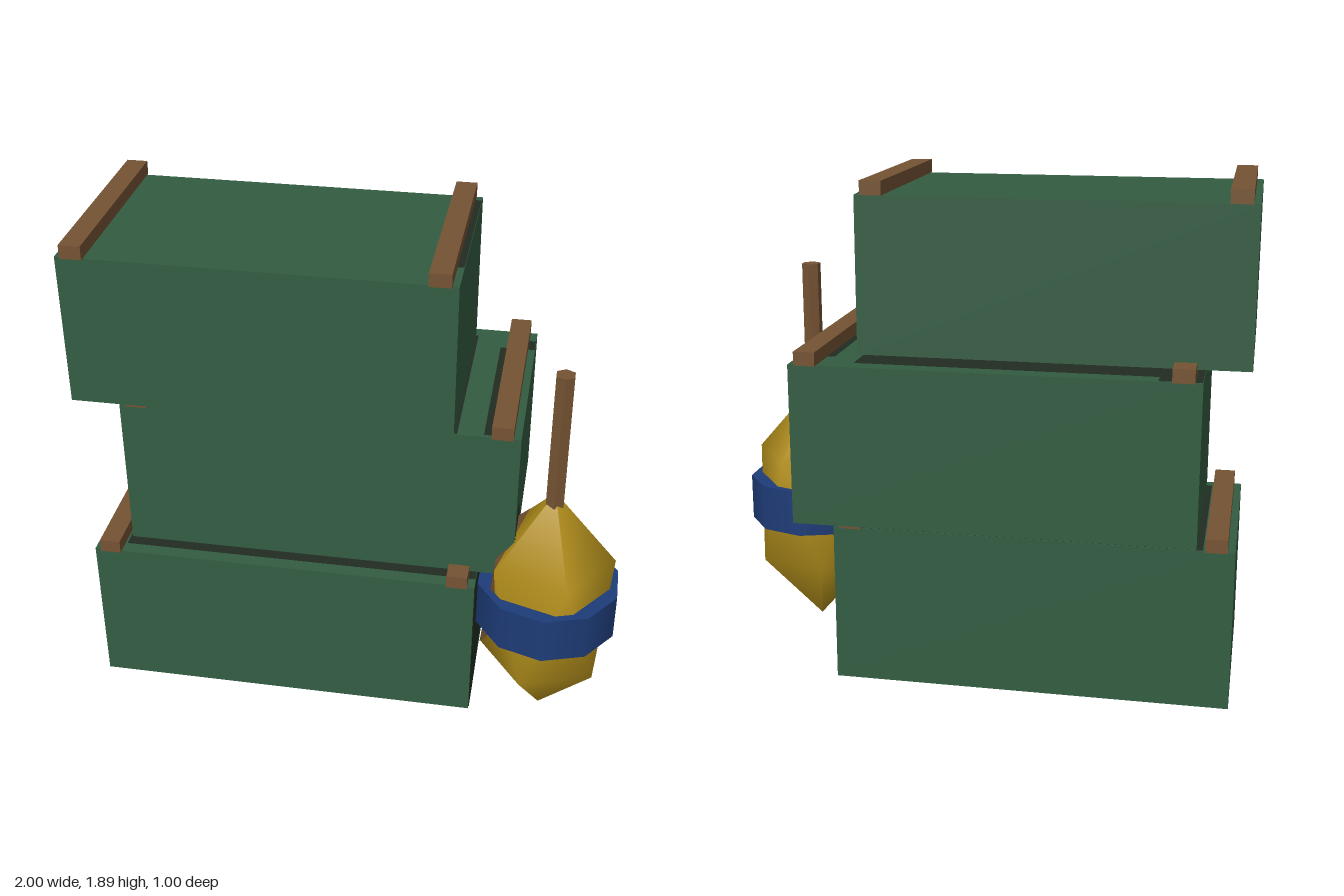
import * as THREE from 'three';

const paint = (name, color) => {
  const m = new THREE.MeshStandardMaterial({ color });
  m.name = name;
  return m;
};

// Two poles and two five-sided rings, the lower turned half a step; poles stay sharp
function floatGeometry(radius, ringY, poleY) {
  const points = [], faces = [];
  for (const side of [1, -1]) {
    for (let i = 0; i < 5; i++) {
      const a = (i * 2 + (side < 0 ? 1 : 0)) * Math.PI / 5;
      points.push(Math.cos(a) * radius, side * ringY, -Math.sin(a) * radius);
    }
  }
  for (let i = 0; i < 5; i++) {
    const j = (i + 1) % 5;
    const u = i, un = j, l = 5 + i, ln = 5 + j;
    const top = points.length / 3;
    points.push(0, poleY, 0, 0, -poleY, 0);
    faces.push(top, u, un, u, l, un, l, ln, un, top + 1, ln, l);
  }
  const g = new THREE.BufferGeometry();
  g.setAttribute('position', new THREE.Float32BufferAttribute(points, 3));
  g.setIndex(faces);
  g.computeVertexNormals();
  return g;
}

// Worn triangles on the side of the float that rests against the crates
function wornGeometry() {
  const low = [-0.239, -0.225, 0];
  const front = [-0.193, 0.225, 0.14], back = [-0.193, 0.225, -0.14];
  const g = new THREE.BufferGeometry();
  g.setAttribute('position', new THREE.Float32BufferAttribute([
    low, front, back,
    low, [-0.171, -0.045, 0.124], front,
    low, back, [-0.171, -0.045, -0.124],
    back, front, [-0.087, 0.376, -0.055],
  ].flat(), 3));
  g.computeVertexNormals();
  return g.scale(1.015, 1.015, 1.015);
}

export function createModel() {
  const model = new THREE.Group();
  model.name = 'stackedCratesWithBuoy';
  const green = paint('crateGreen', 0x335d42);
  const dark = paint('stainedDarkGreen', 0x222c22);
  const brown = paint('woodBrown', 0x755333);
  const yellow = paint('buoyYellow', 0xb4901c);
  const blue = paint('bandBlue', 0x1e3c78);

  const add = (parent, name, geometry, material, x, y, z) => {
    const mesh = new THREE.Mesh(geometry, material);
    mesh.name = name;
    mesh.position.set(x, y, z);
    parent.add(mesh);
    return mesh;
  };

  // Three offset crates with dark undersides, each with two wooden battens across the lid
  const crates = [
    { name: 'bottomCrate', size: [1.45, 0.594, 0.79], at: [-0.247, 0.042, -0.03], batten: 0.66 },
    { name: 'middleCrate', size: [1.45, 0.59, 0.79], at: [-0.115, 0.663, -0.094], batten: 0.66 },
    { name: 'topCrate', size: [1.378, 0.563, 0.75], at: [-0.311, 1.28, -0.03], batten: 0.627 },
  ];
  for (const { name, size: [w, h, d], at: [x, y, z], batten } of crates) {
    const crate = new THREE.Group();
    crate.name = name;
    crate.position.set(x, y, z);
    add(crate, 'crateBody', new THREE.BoxGeometry(w, h, d),
      [green, green, green, dark, green, green], 0, h / 2, 0);
    for (const side of [-1, 1]) {
      add(crate, side < 0 ? 'rightBatten' : 'leftBatten',
        new THREE.BoxGeometry(0.077, 0.05, d + 0.025), brown, side * batten, h + 0.025, 0);
    }
    model.add(crate);
  }

  // Dark stains on the lids: under the next crate and beside the battens [x0, x1, z0, z1, y]
  const lidStains = [
    [-0.86, 0.477, -0.424, 0.315, 0.638],
    [-0.839, 0.385, -0.43, 0.3, 1.255],
    [0.478, 0.506, -0.35, 0.29, 1.255],
    [0.584, 0.609, -0.42, -0.35, 1.255],
    [-0.839, -0.69, -0.488, -0.43, 1.255],
    [0.354, 0.377, -0.37, 0.2, 1.845],
  ];
  for (const [x0, x1, z0, z1, y] of lidStains) {
    const plate = new THREE.PlaneGeometry(x1 - x0, z1 - z0).rotateX(-Math.PI / 2);
    add(model, 'lidStain', plate, dark, (x0 + x1) / 2, y, (z0 + z1) / 2);
  }

  // Dark stains on the crate ends behind the buoy, outlined as [z, y]
  const endStain = (name, x, outline) => {
    const shape = new THREE.Shape(outline.map(([z, y]) => new THREE.Vector2(-z, y)));
    add(model, name, new THREE.ShapeGeometry(shape).rotateY(Math.PI / 2), dark, x, 0, 0);
  };
  endStain('bottomEndStain', 0.48, [
    [0.364, 0.044], [0.23, 0.046], [0.1, 0.065], [0.03, 0.1], [-0.05, 0.11], [-0.08, 0.14],
    [-0.05, 0.18], [0.02, 0.21], [0.02, 0.27], [-0.1, 0.285], [-0.135, 0.315], [-0.08, 0.36],
    [-0.06, 0.42], [-0.075, 0.5], [-0.115, 0.57], [-0.1, 0.62], [0.0, 0.63], [0.364, 0.63],
  ]);
  endStain('middleEndStain', 0.612, [
    [0.3, 0.664], [0.04, 0.664], [0.04, 0.74], [0.12, 0.86], [0.22, 0.92], [0.3, 0.84],
  ]);

  // Buoy standing beside the crates
  const buoy = new THREE.Group();
  buoy.name = 'buoy';
  buoy.position.set(0.742, 0, 0.232);
  add(buoy, 'buoyFloat', floatGeometry(0.239, 0.225, 0.5), yellow, 0, 0.502, 0);
  add(buoy, 'wornPatches', wornGeometry(), brown, 0, 0.502, 0);
  add(buoy, 'buoyBand', new THREE.CylinderGeometry(0.269, 0.269, 0.18, 10), blue, 0, 0.53, 0);
  const pole = new THREE.CylinderGeometry(0.037, 0.037, 0.56, 6).toNonIndexed();
  pole.computeVertexNormals();
  add(buoy, 'buoyPole', pole, brown, 0, 1.21, 0);
  model.add(buoy);

  return model;
}
